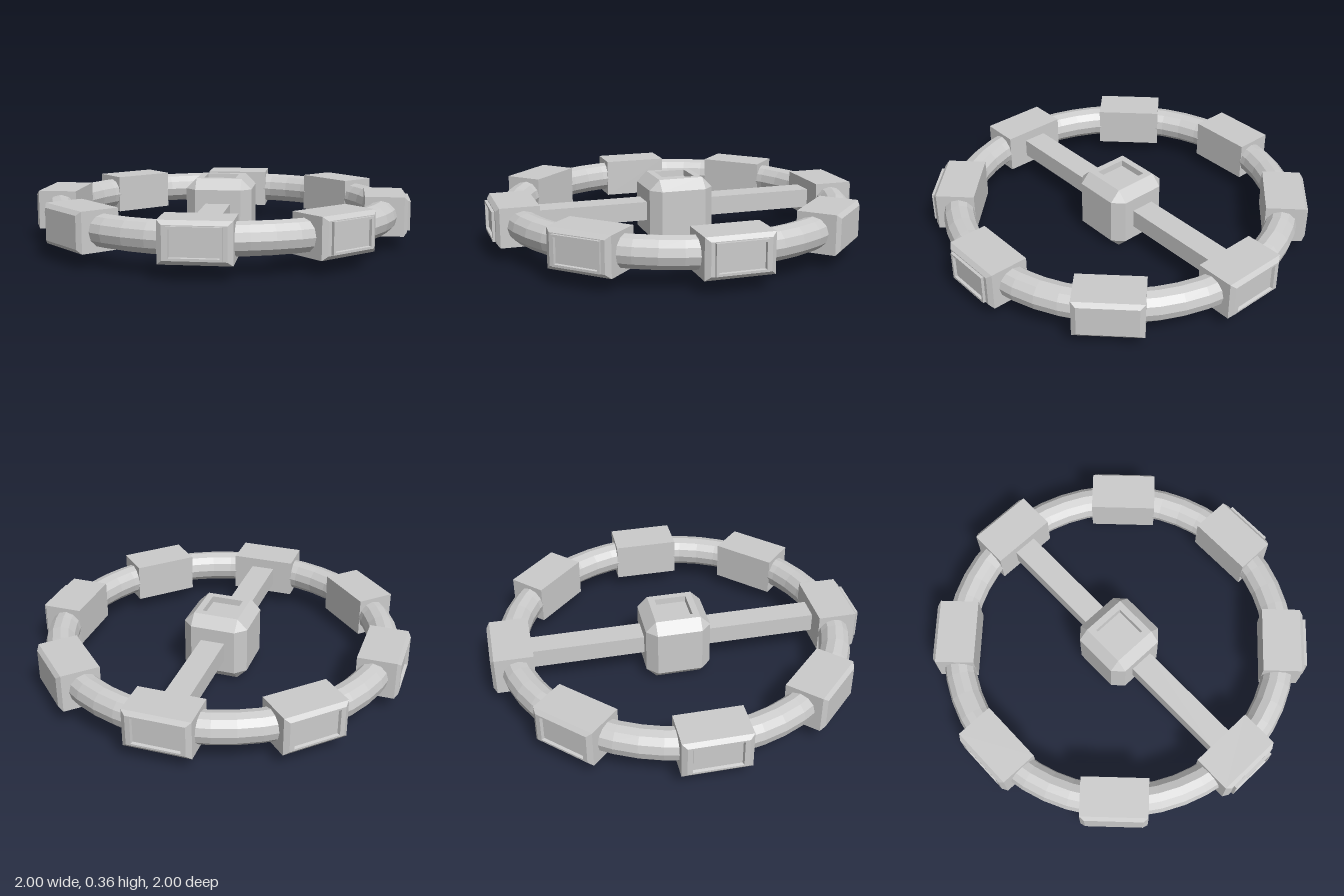
import * as THREE from 'three';

const material = new THREE.MeshStandardMaterial({ color: 0xcccccc, flatShading: true });
const MID = 0.178; // height of the ring plane

// Closed faceted solid lofted along +z through rectangles with cut corners: [z, halfWidth, halfHeight, cut]
function loft(sections) {
  const loops = sections.map(([z, w, h, c = 0]) => [
    [w, -h + c], [w, h - c], [w - c, h], [-w + c, h],
    [-w, h - c], [-w, -h + c], [-w + c, -h], [w - c, -h],
  ].map(([x, y]) => new THREE.Vector3(x, y, z)));
  const pos = [];
  const tri = (a, b, c) => {
    const area = b.clone().sub(a).cross(c.clone().sub(a)).length();
    if (area > 1e-8) for (const p of [a, b, c]) pos.push(p.x, p.y, p.z);
  };
  for (let s = 0; s < loops.length - 1; s++) {
    const [p, q] = [loops[s], loops[s + 1]];
    for (let i = 0; i < 8; i++) {
      const j = (i + 1) % 8;
      tri(p[i], p[j], q[j]);
      tri(p[i], q[j], q[i]);
    }
  }
  const first = loops[0], last = loops[loops.length - 1];
  for (let i = 1; i < 7; i++) {
    tri(first[0], first[i + 1], first[i]);
    tri(last[0], last[i], last[i + 1]);
  }
  const geometry = new THREE.BufferGeometry();
  geometry.setAttribute('position', new THREE.Float32BufferAttribute(pos, 3));
  geometry.computeVertexNormals();
  return geometry;
}

function add(parent, name, geometry) {
  const mesh = new THREE.Mesh(geometry, material);
  mesh.name = name;
  parent.add(mesh);
  return mesh;
}

export function createModel() {
  const model = new THREE.Group();
  model.name = 'spokedRing';
  const wheel = new THREE.Group();
  wheel.name = 'wheel';
  wheel.position.set(-0.005, MID, -0.005);
  model.add(wheel);

  // Round tube ring
  add(wheel, 'ring', new THREE.TorusGeometry(0.87, 0.083, 12, 48).rotateX(Math.PI / 2));

  // Block bodies with a bevelled outer face, then the three kinds of face
  const body = [[0.768, 0.175, 0.103], [0.972, 0.175, 0.103], [0.99, 0.15, 0.082]];
  const plainBlock = loft(body);
  const recessedBlock = loft([...body, [0.99, 0.125, 0.072], [0.975, 0.12, 0.068]]);
  const raisedBlock = loft([...body, [0.99, 0.13, 0.078], [1.005, 0.13, 0.078],
    [1.005, 0.117, 0.066], [0.99, 0.115, 0.064]]);

  // Eight blocks, counted from the front towards +x
  const kinds = [raisedBlock, raisedBlock, raisedBlock, plainBlock,
    recessedBlock, recessedBlock, recessedBlock, plainBlock];
  kinds.forEach((geometry, i) => {
    add(wheel, 'ringBlock' + (i + 1), geometry).rotation.y = i * Math.PI / 4;
  });

  // Bevelled hub with square recesses above and below
  const hub = loft([
    [-0.145, 0.083, 0.083], [-0.178, 0.085, 0.085], [-0.178, 0.12, 0.12],
    [-0.123, 0.174, 0.174, 0.054], [0.123, 0.174, 0.174, 0.054],
    [0.178, 0.12, 0.12], [0.178, 0.085, 0.085], [0.145, 0.083, 0.083],
  ]);
  add(wheel, 'hub', hub.rotateX(-Math.PI / 2));

  // Two spokes along z
  for (const side of [1, -1]) {
    const spoke = add(wheel, side > 0 ? 'frontSpoke' : 'backSpoke', new THREE.BoxGeometry(0.13, 0.1, 0.64));
    spoke.position.z = side * 0.47;
  }
  return model;
}
